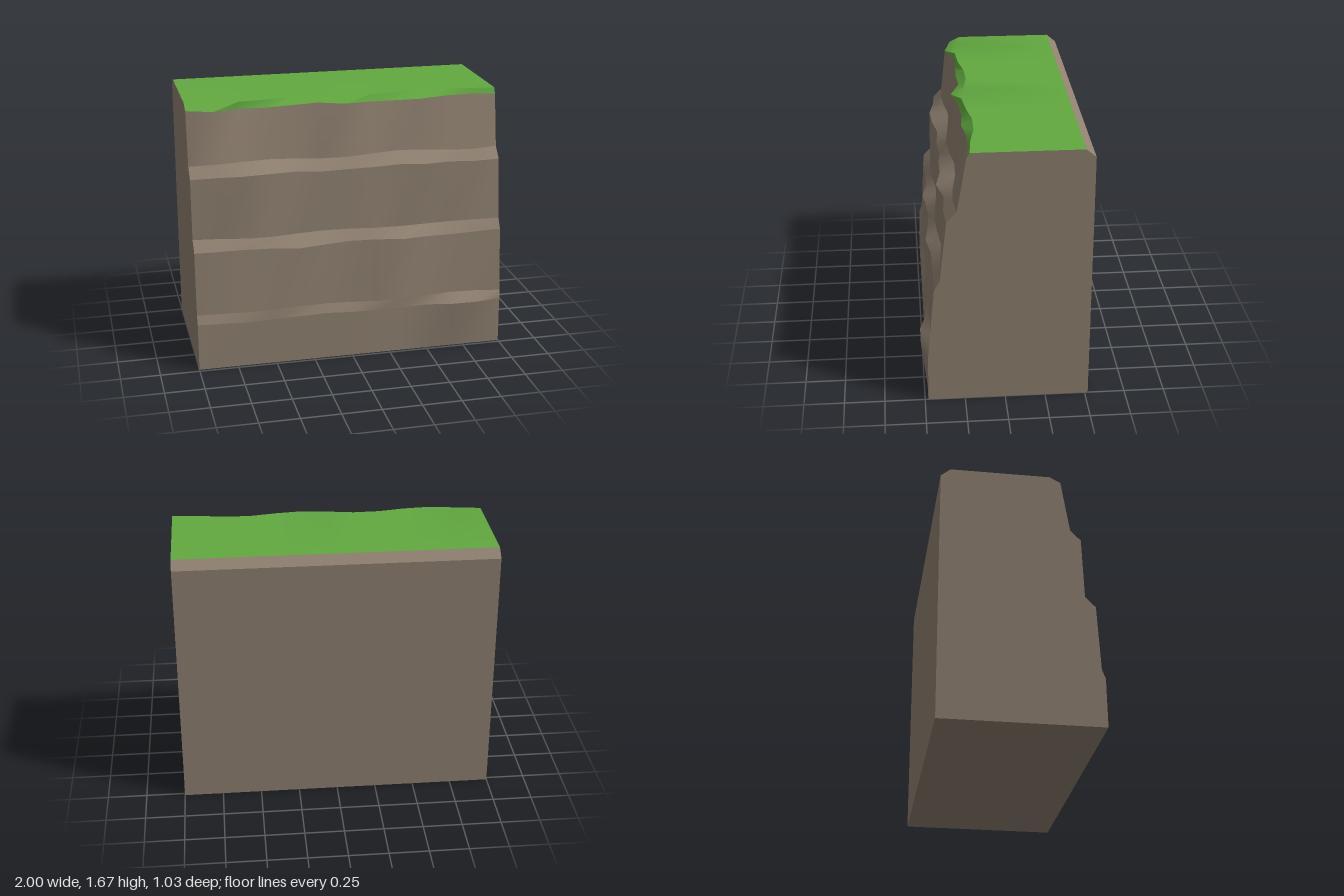
import * as THREE from 'three';
import { toCreasedNormals } from 'three/addons/utils/BufferGeometryUtils.js';

const COLS = 13;

// Worn edges of the four steps: how far each column bulges past the base depth, in hundredths
const FOOT = [0, 0, 1, 0, 1, 0, 1, 0, 0, 0, 4, 4, 0];
const LOWER = [0, 1, 0, 0, 3, 1, 0, 1, 3, 0, 0, 0, 0];
const UPPER = [0, 1, 4, 3, 0, 1, 0, 1, 1, 4, 0, 1, 0];
const LIP = [2, 6, 0, 1, 1, 0, 6, 2, 1, 2, 0, 0, 2];

const edge = (base, bulge) => i => base + bulge[i] / 100;
const wave = (base, size, phase) => i => base + size * (1 + Math.sin(i * 1.3 + phase)) / 2;
const flat = value => () => value;

// Cross-section rows from the front foot, over the top, to the back foot
const row = (y, z, wobble = 0) => ({ y, z, wobble });
const ROWS = [
  row(0, flat(0.48)),
  row(0.305, edge(0.475, FOOT), 0.006),
  row(0.365, wave(0.45, 0.025, 4), 0.005),
  row(0.77, edge(0.43, LOWER), 0.006),
  row(0.835, wave(0.365, 0.03, 5), 0.006),
  row(1.235, edge(0.35, UPPER), 0.007),
  row(1.30, wave(0.265, 0.04, 0), 0.007),
  row(1.63, edge(0.21, LIP), 0.006),
  row(1.67, wave(0.16, 0.05, 5)),
  row(1.67, flat(-0.46)),
  row(1.62, flat(-0.52)),
  row(0, flat(-0.52)),
];

const point = ({ y, z, wobble }, i) =>
  [-1 + 2 * i / (COLS - 1), y + wobble * Math.sin(i * 1.1 + y * 9), z(i)];

// Surface lofted across the given rows
function loft(rows) {
  const pos = [], index = [];
  rows.forEach(r => { for (let i = 0; i < COLS; i++) pos.push(...point(r, i)); });
  for (let r = 0; r < rows.length - 1; r++) {
    for (let i = 0; i < COLS - 1; i++) {
      const a = r * COLS + i, c = a + COLS;
      index.push(a, a + 1, c + 1, a, c + 1, c);
    }
  }
  const g = new THREE.BufferGeometry();
  g.setAttribute('position', new THREE.Float32BufferAttribute(pos, 3));
  g.setIndex(index);
  g.computeVertexNormals();
  return g;
}

// Flat end wall following the cross-section; side is +1 or -1
function endWall(side) {
  const outline = ROWS.map(r => {
    const [, y, z] = point(r, side > 0 ? COLS - 1 : 0);
    return new THREE.Vector2(-side * z, y);
  });
  const g = new THREE.ShapeGeometry(new THREE.Shape(outline));
  g.rotateY(side * Math.PI / 2);
  g.translate(side, 0, 0);
  return g;
}

export function createModel() {
  const group = new THREE.Group();
  group.name = 'cliffBlock';
  const rock = new THREE.MeshStandardMaterial({ color: 0x8f8070 });
  const grass = new THREE.MeshStandardMaterial({ color: 0x62a840 });
  const add = (name, geometry, material) => {
    const mesh = new THREE.Mesh(geometry, material);
    mesh.name = name;
    group.add(mesh);
  };

  // Stepped rock face: alternating steep bands and sloping ledges
  for (let r = 0; r < 7; r++) {
    add((r % 2 ? 'ledge' : 'rockBand') + (Math.floor(r / 2) + 1), loft(ROWS.slice(r, r + 2)), rock);
  }

  // Grass with a lip that softens where it slopes gently
  add('grassTop', toCreasedNormals(loft(ROWS.slice(7, 10)), 0.5), grass);

  // Back chamfer, back wall and underside
  add('backChamfer', loft(ROWS.slice(9, 11)), rock);
  add('backWall', loft(ROWS.slice(10, 12)), rock);
  add('underside', loft([ROWS[11], ROWS[0]]), rock);

  // End walls
  add('leftWall', endWall(1), rock);
  add('rightWall', endWall(-1), rock);
  return group;
}
